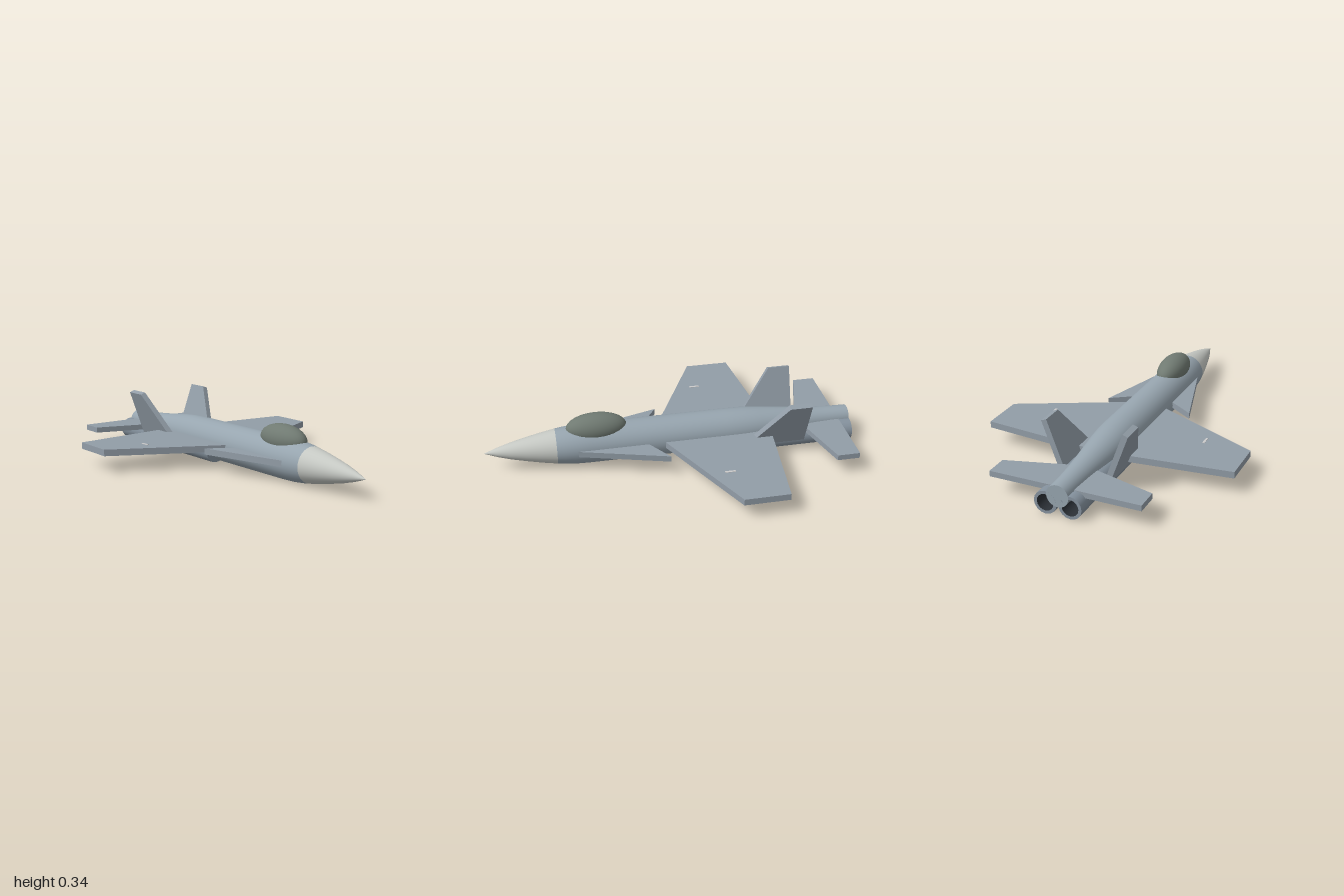
import * as THREE from 'three';

const paint = (color) => new THREE.MeshStandardMaterial({ color });
const hull = paint(0x97a5af);
const panel = paint(0x929da7);
const noseGrey = paint(0xc6c9c4);
const glass = paint(0x707a72);
const engineGrey = paint(0x85929e);
const dark = paint(0x2b3036);
const light = paint(0xcccccc);

const AXIS_Y = 0.108;

function add(parent, name, geometry, material) {
  const mesh = new THREE.Mesh(geometry, material);
  mesh.name = name;
  parent.add(mesh);
  return mesh;
}

// Body of revolution along x, from [x, radius] pairs listed tail to nose
function revolve(profile, segments) {
  const points = profile.map(([x, r]) => new THREE.Vector2(r, x));
  return new THREE.LatheGeometry(points, segments).rotateZ(-Math.PI / 2);
}

// Flat slab from an outline, with its thickness centred on the outline plane
function slab(outline, thickness) {
  const shape = new THREE.Shape(outline.map(([x, y]) => new THREE.Vector2(x, y)));
  return new THREE.ExtrudeGeometry(shape, { depth: thickness, bevelEnabled: false })
    .translate(0, 0, -thickness / 2);
}

// Horizontal surface: outline in [x, distance from centreline], side is +1 or -1 in z
function lifting(outline, thickness, side) {
  const geometry = slab(outline.map(([x, z]) => [x, -side * z]), thickness);
  return geometry.rotateX(-Math.PI / 2).translate(0, AXIS_Y, 0);
}

export function createModel() {
  const model = new THREE.Group();
  model.name = 'jetAircraft';

  // Fuselage, nose and canopy
  const fuselage = revolve([
    [-1, 0.0001], [-1, 0.058], [-1, 0.058], [-0.9, 0.06], [-0.8, 0.066], [-0.7, 0.075], [-0.6, 0.086],
    [-0.5, 0.098], [-0.4, 0.106], [-0.3, 0.107], [0.45, 0.107], [0.52, 0.105], [0.58, 0.0995], [0.62, 0.094],
  ], 32);
  add(model, 'fuselage', fuselage, hull).position.y = AXIS_Y;
  const nose = revolve([
    [0.62, 0.094], [0.7, 0.08], [0.78, 0.0635], [0.86, 0.045], [0.93, 0.025], [1, 0.0001],
  ], 32);
  add(model, 'noseCone', nose, noseGrey).position.y = AXIS_Y;
  const canopy = add(model, 'canopy', new THREE.SphereGeometry(1, 32, 20), glass);
  canopy.scale.set(0.163, 0.078, 0.078);
  canopy.position.set(0.4, 0.204, 0);

  const wing = [[-0.545, 0.05], [-0.48, 0.68], [-0.24, 0.68], [0.07, 0.05]];
  const canard = [[0.17, 0.05], [0.04, 0.24], [0.51, 0.105], [0.51, 0.05]];
  const tailplane = [[-0.94, 0.03], [-0.94, 0.4], [-0.82, 0.4], [-0.715, 0.03]];
  const fin = [[-0.72, 0], [-0.4, 0], [-0.6, 0.28], [-0.72, 0.28]];

  for (const side of [1, -1]) {
    const half = new THREE.Group();
    half.name = side > 0 ? 'rightSide' : 'leftSide';
    model.add(half);

    // Wing, canard and tailplane
    add(half, 'wing', lifting(wing, 0.035, side), panel);
    add(half, 'canard', lifting(canard, 0.033, side), panel);
    add(half, 'tailplane', lifting(tailplane, 0.03, side), panel);
    add(half, 'wingMarker', new THREE.BoxGeometry(0.055, 0.004, 0.012), light)
      .position.set(-0.23, 0.126, side * 0.435);

    // Outward-canted fin
    const finMesh = add(half, 'fin', slab(fin, 0.03), panel);
    finMesh.rotation.x = side * THREE.MathUtils.degToRad(20);
    finMesh.position.set(0, 0.07, side * 0.121);

    // Engine with a hollow exhaust
    const engine = new THREE.Group();
    engine.name = 'engine';
    engine.position.set(0, 0.061, side * 0.065);
    half.add(engine);
    const casing = new THREE.CylinderGeometry(0.06, 0.06, 0.9, 16, 1, true)
      .rotateZ(-Math.PI / 2).translate(-0.55, 0, 0);
    add(engine, 'engineCasing', casing, engineGrey);
    const front = new THREE.CircleGeometry(0.06, 16).rotateY(Math.PI / 2).translate(-0.1, 0, 0);
    add(engine, 'engineFront', front, engineGrey);
    const lip = new THREE.RingGeometry(0.044, 0.06, 16).rotateY(-Math.PI / 2).translate(-1, 0, 0);
    add(engine, 'nozzleLip', lip, engineGrey);
    const bore = revolve([[-0.9, 0.0001], [-0.9, 0.038], [-0.9, 0.038], [-1, 0.044]], 16);
    const boreMesh = add(engine, 'nozzleBore', bore, dark.clone());
    boreMesh.material.side = THREE.DoubleSide;
  }
  return model;
}
